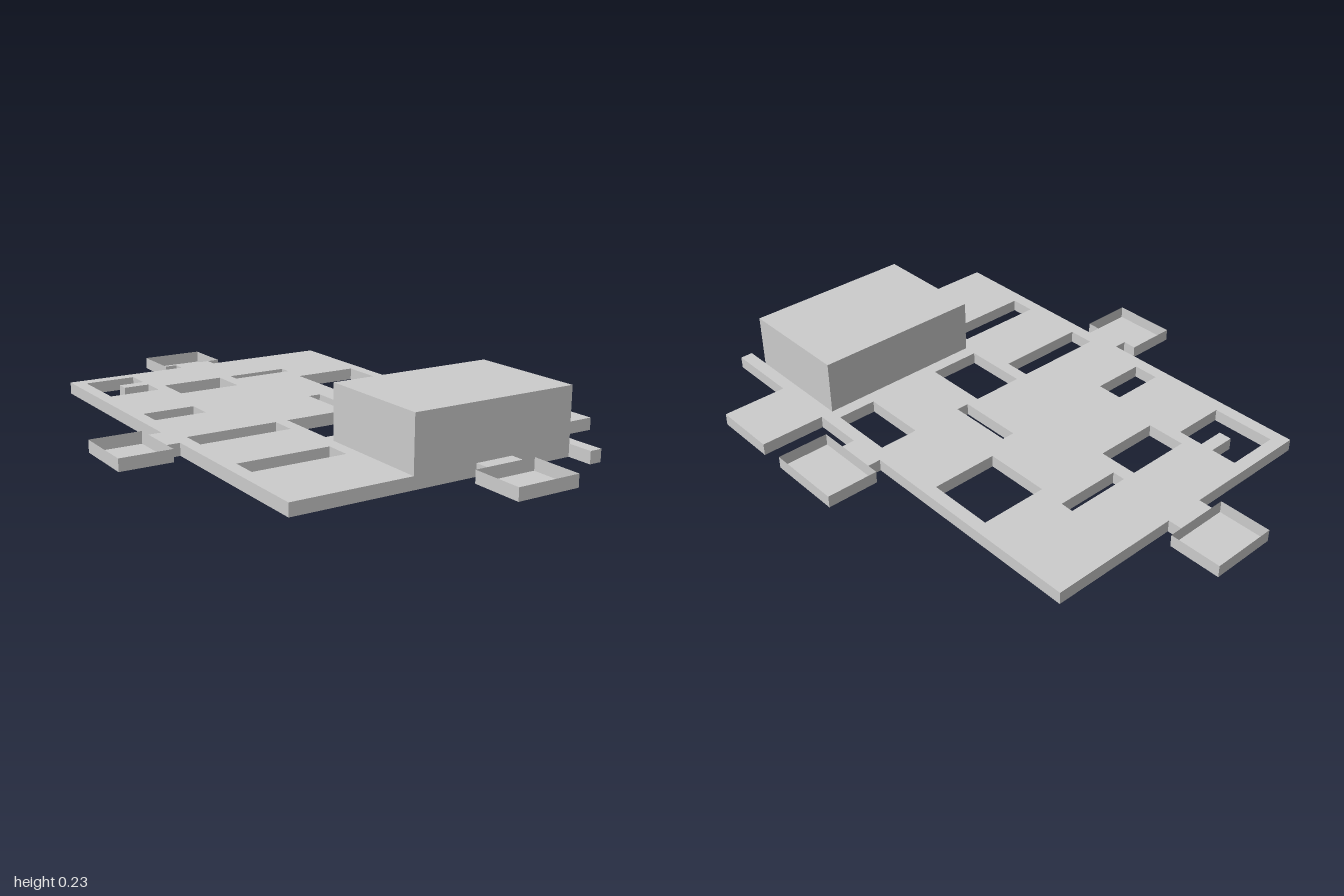
import * as THREE from 'three';

const BASE = 0.005, TOP = 0.047;
const material = new THREE.MeshStandardMaterial({ color: 0xcccccc, flatShading: true });
const thinMaterial = new THREE.MeshStandardMaterial({
  color: 0xcccccc, flatShading: true, side: THREE.DoubleSide,
});

// Corner points of a rectangle in plan (x, z)
const rect = (x0, x1, z0, z1) => [[x0, z0], [x1, z0], [x1, z1], [x0, z1]];
const toVectors = (points) => points.map(([x, z]) => new THREE.Vector2(x, -z));

// Extrudes a plan outline upward from y0 to y1; holes wind the other way
function slab(name, outline, holes, y0, y1) {
  const shape = new THREE.Shape(toVectors(outline));
  holes.forEach((h) => shape.holes.push(new THREE.Path(toVectors(h).reverse())));
  const geometry = new THREE.ExtrudeGeometry(shape, { depth: y1 - y0, bevelEnabled: false });
  geometry.rotateX(-Math.PI / 2).translate(0, y0, 0);
  const mesh = new THREE.Mesh(geometry, material);
  mesh.name = name;
  return mesh;
}

// Shallow thin-walled tray: a box without its top face
function tray(name, x0, x1, z0, z1) {
  const geometry = new THREE.BoxGeometry(x1 - x0, TOP - BASE, z1 - z0);
  geometry.setIndex(Array.from(geometry.index.array).filter((_, i) => i < 12 || i >= 18));
  geometry.translate((x0 + x1) / 2, (BASE + TOP) / 2, (z0 + z1) / 2);
  const mesh = new THREE.Mesh(geometry, thinMaterial);
  mesh.name = name;
  return mesh;
}

export function createModel() {
  const model = new THREE.Group();
  model.name = 'layoutBoard';

  // Main plate: outline with necks, side tab and corner strip
  const outline = [
    [-0.525, -0.772], [-0.07, -0.772], [-0.07, -0.82], [0.07, -0.82], [0.07, -0.772],
    [0.522, -0.772], [0.522, 0.043], [0.568, 0.043], [0.568, 0.182], [0.522, 0.182],
    [0.522, 0.362], [0.75, 0.362], [0.75, 0.592], [0.522, 0.592], [0.522, 0.862], [0.478, 0.862],
    [0.478, 0.772], [0.248, 0.772], [0.248, 0.818], [0.112, 0.818], [0.112, 0.772],
    [-0.525, 0.772], [-0.525, 0.135], [-0.57, 0.135], [-0.57, 0.003], [-0.525, 0.003],
  ];
  const holes = [
    // Window with a small tongue
    [[-0.48, -0.727], [-0.295, -0.727], [-0.295, -0.637], [-0.388, -0.637],
      [-0.388, -0.592], [-0.295, -0.592], [-0.295, -0.502], [-0.48, -0.502]],
    rect(-0.25, -0.023, -0.547, -0.411),
    rect(0.023, 0.25, -0.547, -0.502),
    rect(0.245, 0.478, -0.411, -0.183),
    rect(-0.48, -0.295, -0.23, -0.138),
    rect(0.114, 0.159, -0.138, 0.09),
    rect(-0.48, -0.158, 0.09, 0.183),
    rect(-0.114, 0.069, 0.09, 0.318),
    rect(0.34, 0.478, 0.09, 0.318),
    rect(-0.48, -0.158, 0.409, 0.499),
  ];
  model.add(slab('mainPlate', outline, holes, BASE, TOP));

  // Raised block at the front
  model.add(slab('raisedBlock', rect(-0.115, 0.478, 0.364, 0.772), [], TOP, 0.232));

  // Four trays around the edge
  model.add(tray('backTray', -0.115, 0.114, -1, -0.82));
  model.add(tray('frontTray', 0.07, 0.295, 0.818, 1));
  model.add(tray('rightTray', -0.75, -0.57, -0.046, 0.182));
  model.add(tray('leftTray', 0.568, 0.75, 0.002, 0.272));

  // Clusters of tiny studs on the underside: x, z, columns, rows
  const clusters = [
    [-0.1, -0.64, 5, 4], [-0.12, -0.27, 5, 3], [-0.39, -0.41, 3, 4], [-0.33, -0.02, 6, 5],
    [0.22, -0.03, 4, 5], [0.15, 0.21, 6, 3], [-0.31, 0.6, 6, 3], [0.62, 0.5, 4, 1],
  ];
  const stud = new THREE.BoxGeometry(0.01, BASE, 0.01);
  const studs = new THREE.Group();
  studs.name = 'undersideStuds';
  for (const [cx, cz, columns, rows] of clusters) {
    for (let i = 0; i < columns; i++) {
      for (let j = 0; j < rows; j++) {
        const mesh = new THREE.Mesh(stud, material);
        mesh.name = 'stud';
        mesh.position.set(cx + (i - (columns - 1) / 2) * 0.03, BASE / 2, cz + (j - (rows - 1) / 2) * 0.04);
        studs.add(mesh);
      }
    }
  }
  model.add(studs);
  return model;
}
